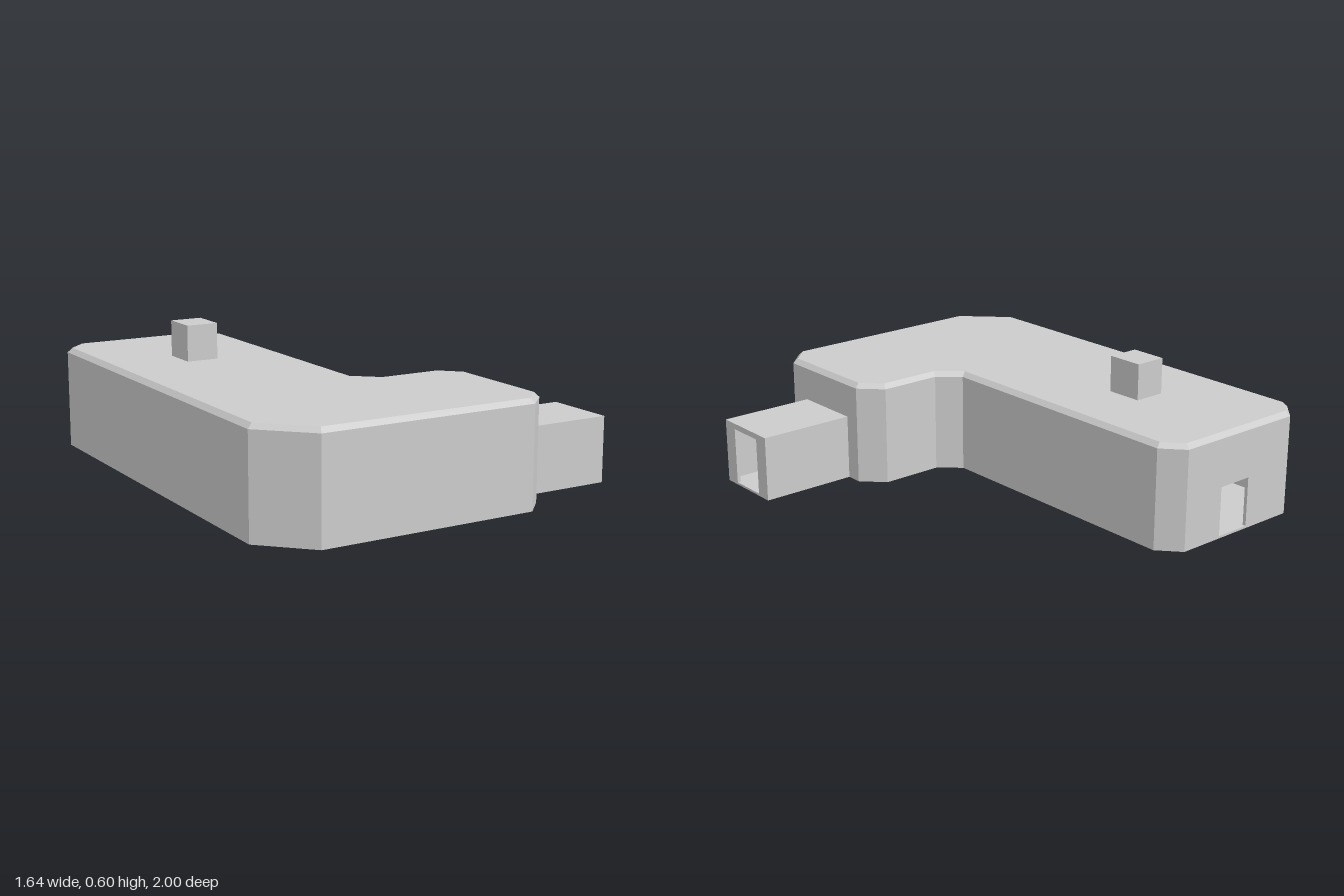
import * as THREE from 'three';

const material = new THREE.MeshStandardMaterial({ color: 0xcccccc, flatShading: true });
const THICK = 0.015, FLOOR = 0.01, EAVE = 0.425, BEVEL = 0.02;

// L-shaped plan with chamfered corners, as [x, z]
const PLAN = [
  [-0.82, -0.91], [-0.73, -1], [-0.13, -1], [-0.05, -0.91], [-0.05, 0.26], [0.04, 0.34],
  [0.31, 0.34], [0.4, 0.43], [0.4, 0.91], [0.31, 1], [-0.63, 1], [-0.82, 0.81],
];
const BACK_EDGE = 1, SIDE_EDGE = 7;

function add(group, name, geometry, x = 0, y = 0, z = 0) {
  const mesh = new THREE.Mesh(geometry, material);
  mesh.name = name;
  mesh.position.set(x, y, z);
  group.add(mesh);
  return mesh;
}

function box(group, name, x0, x1, y0, y1, z0, z1) {
  return add(group, name, new THREE.BoxGeometry(x1 - x0, y1 - y0, z1 - z0),
    (x0 + x1) / 2, (y0 + y1) / 2, (z0 + z1) / 2);
}

// Horizontal slab over the whole plan
function slab(options) {
  const shape = new THREE.Shape(PLAN.map(([x, z]) => new THREE.Vector2(x, -z)));
  return new THREE.ExtrudeGeometry(shape, options).rotateX(-Math.PI / 2);
}

// Upright wall from a to b, thickened inward; door = [start, end, height] along the wall
function wall(group, name, a, b, height, door) {
  const dx = b[0] - a[0], dz = b[1] - a[1], length = Math.hypot(dx, dz);
  const points = [[0, 0]];
  if (door) points.push([door[0], 0], [door[0], door[2]], [door[1], door[2]], [door[1], 0]);
  points.push([length, 0], [length, height], [0, height]);
  const shape = new THREE.Shape(points.map(([x, y]) => new THREE.Vector2(x, y)));
  const geometry = new THREE.ExtrudeGeometry(shape, { depth: THICK, bevelEnabled: false });
  add(group, name, geometry, a[0], 0, a[1]).rotation.y = Math.atan2(-dz, dx);
}

export function createModel() {
  const model = new THREE.Group();
  model.name = 'building';

  // Hollow main hall with a back doorway and an opening into the entrance passage
  const hall = new THREE.Group();
  hall.name = 'mainHall';
  model.add(hall);
  const doors = { [BACK_EDGE]: [0.24, 0.4, 0.22], [SIDE_EDGE]: [0.14, 0.31, 0.255] };
  PLAN.forEach((a, i) => {
    wall(hall, 'wall' + (i + 1), a, PLAN[(i + 1) % PLAN.length], EAVE, doors[i]);
  });
  add(hall, 'floor', slab({ depth: FLOOR, bevelEnabled: false }));

  // Roof slab with a narrow bevelled rim
  add(hall, 'roof', slab({
    depth: 0.002, bevelEnabled: true, bevelThickness: BEVEL, bevelSize: BEVEL,
    bevelOffset: -BEVEL, bevelSegments: 1,
  }), 0, EAVE - 0.002, 0);

  // Chimney
  box(model, 'chimney', -0.5, -0.36, EAVE, 0.6, -0.5, -0.34);

  // Entrance passage on the side wing
  const passage = new THREE.Group();
  passage.name = 'entrancePassage';
  model.add(passage);
  const x0 = 0.4, x1 = 0.82, z0 = 0.5, z1 = 0.81, top = 0.28;
  wall(passage, 'passageBackWall', [x0, z0], [x1, z0], top);
  wall(passage, 'passageEndWall', [x1, z0], [x1, z1], top, [0.07, 0.24, 0.255]);
  wall(passage, 'passageFrontWall', [x1, z1], [x0, z1], top);
  box(passage, 'passageRoof', x0, x1 - THICK, top - THICK, top, z0 + THICK, z1 - THICK);
  box(passage, 'passageFloor', x0, x1, 0, FLOOR, z0, z1);

  return model;
}
